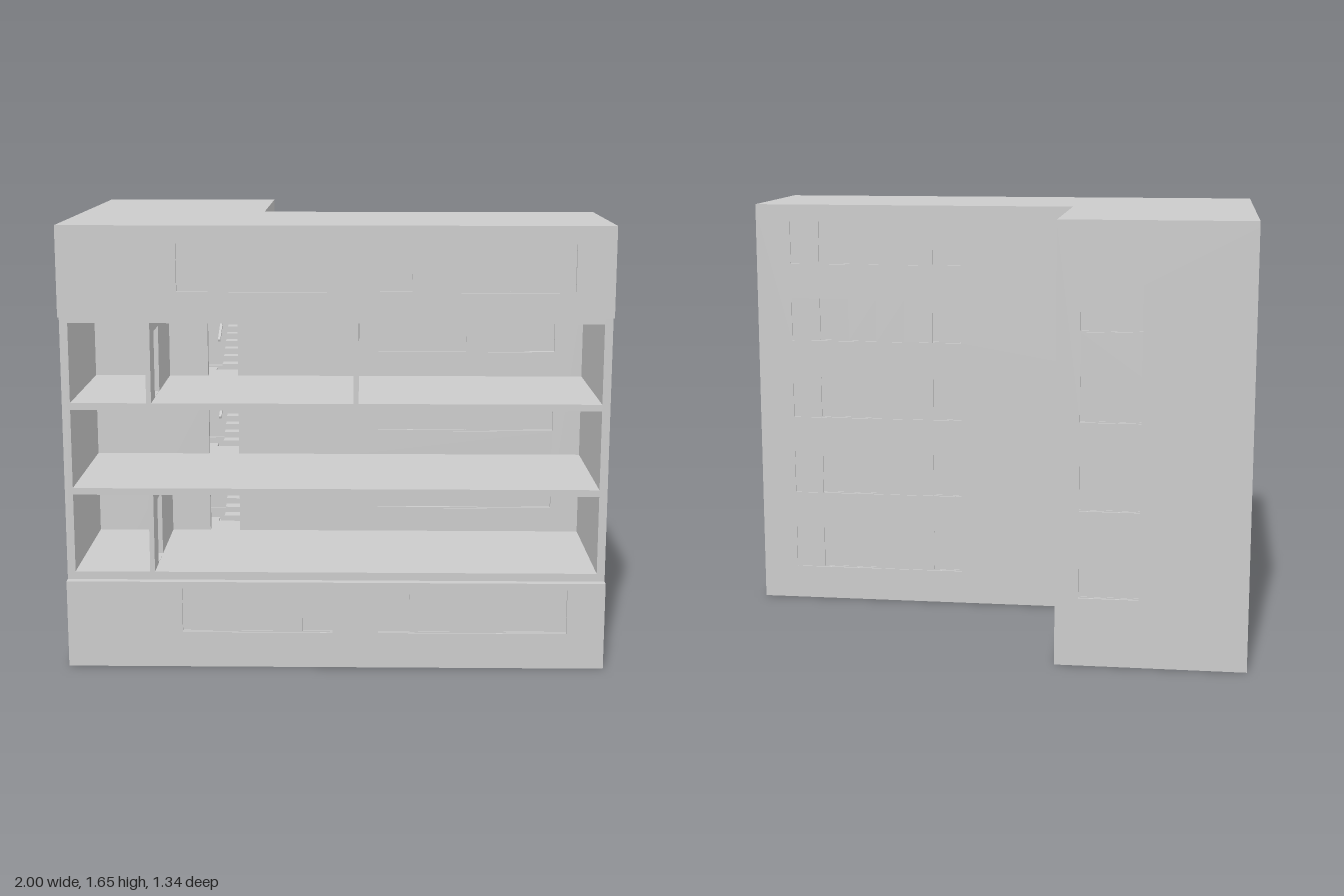
import * as THREE from 'three';

const grey = new THREE.MeshStandardMaterial({ color: 0xcccccc, flatShading: true });

// Box given by its limits on each axis
function block(parent, name, [x0, x1], [y0, y1], [z0, z1]) {
  const mesh = new THREE.Mesh(new THREE.BoxGeometry(x1 - x0, y1 - y0, z1 - z0), grey);
  mesh.position.set((x0 + x1) / 2, (y0 + y1) / 2, (z0 + z1) / 2);
  mesh.name = name;
  parent.add(mesh);
  return mesh;
}

function rectPath(PathType, [x0, x1], [y0, y1]) {
  return new PathType([[x0, y0], [x1, y0], [x1, y1], [x0, y1]].map(p => new THREE.Vector2(...p)));
}

// Upright wall facing z, with rectangular openings
function wall(parent, name, xs, ys, [z0, z1], openings) {
  const shape = rectPath(THREE.Shape, xs, ys);
  for (const [ox, oy] of openings) shape.holes.push(rectPath(THREE.Path, ox, oy));
  const geometry = new THREE.ExtrudeGeometry(shape, { depth: z1 - z0, bevelEnabled: false });
  const mesh = new THREE.Mesh(geometry.translate(0, 0, z0), grey);
  mesh.name = name;
  parent.add(mesh);
  return mesh;
}

// Sliding window: a row of panes, some set slightly forward, and a thin sill
function slidingWindow(parent, [x0, x1], [y0, y1], z, pattern) {
  const group = new THREE.Group();
  group.name = 'window';
  const w = (x1 - x0) / pattern.length;
  pattern.forEach((step, i) => {
    const pz = z + step * 0.006;
    block(group, 'pane', [x0 + i * w, x0 + (i + 1) * w], [y0, y1], [pz - 0.004, pz + 0.004]);
  });
  block(group, 'sill', [x0, x1], [y0, y0 + 0.004], [z - 0.007, z + 0.012]);
  parent.add(group);
}

// L-shaped plate covering the whole plan
function planPlate(parent, name, y0, y1) {
  const outline = [[-1, -0.67], [1, -0.67], [1, -0.03], [-0.29, -0.03], [-0.29, 0.67], [-1, 0.67]];
  const shape = new THREE.Shape(outline.map(p => new THREE.Vector2(...p)));
  const geometry = new THREE.ExtrudeGeometry(shape, { depth: y1 - y0, bevelEnabled: false });
  const mesh = new THREE.Mesh(geometry.rotateX(-Math.PI / 2).translate(0, y0, 0), grey);
  mesh.name = name;
  parent.add(mesh);
}

// Dog-leg stair from one floor level to the next
function stair(parent, y0, y1) {
  const group = new THREE.Group();
  group.name = 'stair';
  const steps = 7, zTop = -0.08, zEnd = -0.46;
  const rise = (y1 - y0) / (2 * steps), run = (zTop - zEnd) / steps;
  const mid = (y0 + y1) / 2;
  for (let i = 0; i < steps; i++) {
    const y = y0 + (i + 1) * rise, z = zTop - i * run;
    block(group, 'step', [-0.475, -0.37], [y - 0.03, y], [z - run, z]);
    const y2 = mid + (i + 1) * rise, z2 = zEnd + i * run;
    block(group, 'step', [-0.61, -0.5], [y2 - 0.03, y2], [z2, z2 + run]);
  }
  block(group, 'halfLanding', [-0.61, -0.37], [mid - 0.025, mid], [-0.64, zEnd]);
  // Handrail beside the lower flight
  const dy = mid - y0, dz = zTop - zEnd;
  const rail = block(group, 'handrail', [-0.492, -0.482], [-0.005, 0.005],
    [-Math.hypot(dy, dz) / 2, Math.hypot(dy, dz) / 2]);
  rail.position.set(-0.487, y0 + dy / 2 + 0.12, (zTop + zEnd) / 2);
  rail.rotation.x = Math.atan2(dy, dz);
  parent.add(group);
}

export function createModel() {
  const model = new THREE.Group();
  model.name = 'building';
  const low = 0.02, high = 1.63;
  const longX = [0.16, 0.86], shortX = [-0.57, -0.01];
  const floors = [0.36, 0.68, 1.0];
  const storeys = [[0.135, 0.305], [0.455, 0.63], [0.775, 0.945], [1.095, 1.27], [1.41, 1.585]];

  planPlate(model, 'basePlate', 0, low);
  planPlate(model, 'roof', high, 1.65);

  // Closed ground and top storeys with windowed front walls
  for (const [name, ys, wy] of [
    ['groundStorey', [low, 0.33], storeys[0]],
    ['topStorey', [1.32, high], storeys[4]]]) {
    block(model, name, [-1, 1], ys, [0.06, 0.645]);
    wall(model, name + 'Front', [-1, 1], ys, [0.645, 0.67], [[shortX, wy], [longX, wy]]);
    slidingWindow(model, shortX, wy, 0.652, [0, 1, 1, 1, 0]);
    slidingWindow(model, longX, wy, 0.652, [0, 1, 1, 1, 0, 0]);
  }

  // Rear wall of the main block, with windows and stair doorways
  const openings = storeys.map(wy => [longX, wy]);
  for (const y of floors) openings.push([[-0.52, -0.4], [y, y + 0.25]]);
  wall(model, 'rearWall', [-1, 1], [low, high], [0.03, 0.06], openings);
  for (const wy of storeys) slidingWindow(model, longX, wy, 0.045, [0, -1, -1, 0, 0, -1]);

  // Open storeys: side walls and floor slabs
  for (const xs of [[-1, -0.97], [0.97, 1]]) block(model, 'sideWall', xs, [0.33, 1.32], [0.06, 0.64]);
  for (const ys of [[0.33, 0.36], [0.655, 0.68], [0.975, 1.0], [1.295, 1.32]])
    block(model, 'floorSlab', [-0.97, 0.97], ys, [0.06, 0.64]);

  // Room partitions with a doorway, running front to back
  for (const [x, y] of [[-0.682, 0.36], [-0.682, 1.0], [0.075, 1.0]]) {
    const partition = wall(model, 'partition', [0.06, 0.64], [y, y + 0.295],
      [-0.009, 0.009], [[[0.4, 0.53], [y + 0.001, y + 0.25]]]);
    partition.rotation.y = -Math.PI / 2;
    partition.position.x = x;
  }

  // Rear wing around the stairwell
  block(model, 'wingRightBlock', [-1, -0.61], [low, high], [-0.64, 0.03]);
  block(model, 'wingLeftBlock', [-0.37, -0.29], [low, high], [-0.64, 0.03]);
  const wingX = [-0.6, -0.377];
  const wingYs = [0, 1, 2, 3].map(i => [0.26 + i * 0.33, 0.43 + i * 0.33]);
  wall(model, 'wingRearWall', [-1, -0.29], [low, high], [-0.67, -0.64], wingYs.map(wy => [wingX, wy]));
  for (const wy of wingYs) slidingWindow(model, wingX, wy, -0.655, [0, 0]);

  // Stairs and floor landings
  const levels = [0.04, ...floors, 1.32];
  for (let i = 0; i < 4; i++) {
    stair(model, levels[i], levels[i + 1]);
    block(model, 'landing', [-0.61, -0.37], [levels[i] - 0.02, levels[i]], [-0.08, 0.03]);
  }
  return model;
}
